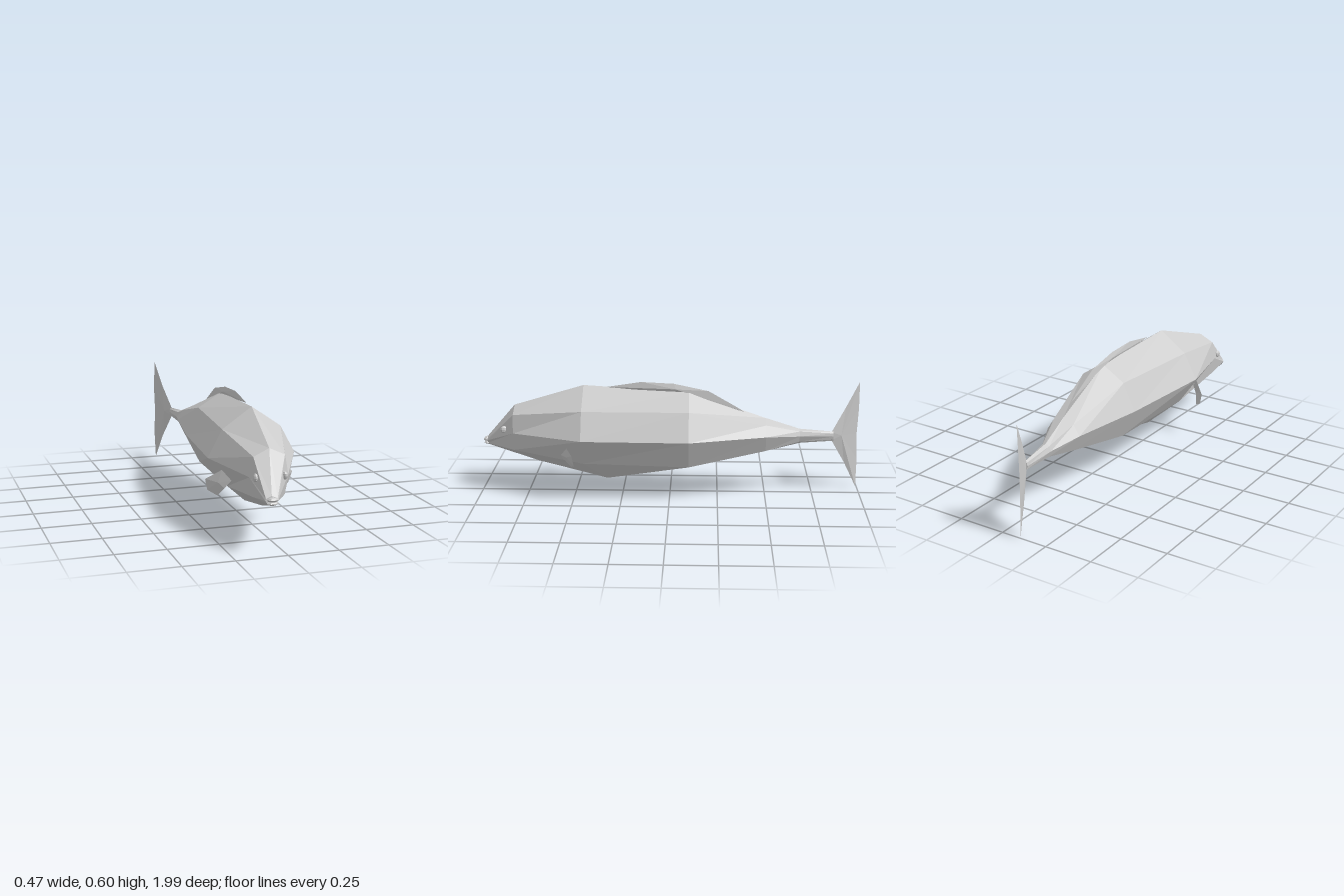
import * as THREE from 'three';

const material = new THREE.MeshStandardMaterial({ color: 0xcccccc, flatShading: true, side: THREE.DoubleSide });

function addMesh(group, name, geometry) {
  const mesh = new THREE.Mesh(geometry, material);
  mesh.name = name;
  group.add(mesh);
  return mesh;
}

function fromTriangles(triangles) {
  const geometry = new THREE.BufferGeometry();
  geometry.setAttribute('position', new THREE.Float32BufferAttribute(triangles.flat(2), 3));
  geometry.computeVertexNormals();
  return geometry;
}

// Eight-sided rings joined into a closed skin, front to back
function skin(rings) {
  const tris = [];
  const n = rings[0].length;
  for (let i = 0; i < rings.length - 1; i++) {
    for (let j = 0; j < n; j++) {
      const k = (j + 1) % n;
      const [a, b, c, d] = [rings[i][j], rings[i][k], rings[i + 1][k], rings[i + 1][j]];
      tris.push([a, b, d], [b, c, d]);
    }
  }
  const first = rings[0], last = rings[rings.length - 1];
  for (let j = 1; j < n - 1; j++) {
    tris.push([first[0], first[j + 1], first[j]], [last[0], last[j], last[j + 1]]);
  }
  return fromTriangles(tris);
}

// Thin blade: an outline fanned to a ridge point on either side
function blade(outline, centre, offset) {
  const tris = [];
  const ridge = (s) => centre.map((v, i) => v + s * offset[i]);
  outline.forEach((p, i) => {
    const q = outline[(i + 1) % outline.length];
    tris.push([p, q, ridge(1)], [q, p, ridge(-1)]);
  });
  return fromTriangles(tris);
}

// z, centre x, top y, upper [w, y], side [w, y], lower [w, y], keel y, keel z shift
const sections = [
  [0.975, -0.073, 0.283, [0.028, 0.272], [0.032, 0.264], [0.018, 0.246], 0.240, 0.01],
  [0.82, -0.031, 0.466, [0.077, 0.430], [0.095, 0.335], [0.078, 0.240], 0.160, -0.12],
  [0.45, 0.011, 0.586, [0.150, 0.482], [0.224, 0.345], [0.124, 0.196], 0.080, -0.12],
  [-0.10, 0.029, 0.556, [0.125, 0.480], [0.193, 0.338], [0.120, 0.186], 0.153, 0],
  [-0.50, -0.003, 0.412, [0.060, 0.388], [0.095, 0.334], [0.055, 0.248], 0.232, 0],
  [-0.68, -0.027, 0.348, [0.020, 0.338], [0.029, 0.313], [0.018, 0.282], 0.272, 0],
  [-0.86, -0.040, 0.330, [0.008, 0.322], [0.011, 0.306], [0.008, 0.288], 0.281, 0],
];

function ringOf([z, x, top, up, side, low, keel, shift]) {
  const flank = [up, side, low];
  return [
    [x, top, z],
    ...flank.map(([w, y]) => [x + w, y, z]),
    [x + 0.006, keel, z + shift],
    ...flank.slice().reverse().map(([w, y]) => [x - w, y, z]),
  ];
}

export function createModel() {
  const fish = new THREE.Group();
  fish.name = 'fish';

  addMesh(fish, 'body', skin(sections.map(ringOf)));

  // Lips: two flattened wedges meeting at the mouth line
  [['upperLip', 0.267, 0.012, 0.98], ['lowerLip', 0.249, 0.010, 0.977]].forEach(([name, y, h, z]) => {
    const lip = addMesh(fish, name, new THREE.SphereGeometry(1, 6, 4));
    lip.scale.set(0.029, h, 0.02);
    lip.position.set(-0.07, y, z);
  });

  // Eyes on both cheeks
  [['leftEye', 0.025, 0.45], ['rightEye', -0.115, -0.15]].forEach(([name, x, turn]) => {
    const eye = addMesh(fish, name, new THREE.SphereGeometry(1, 8, 6));
    eye.scale.set(0.012, 0.02, 0.02);
    eye.rotation.y = turn;
    eye.position.set(x, 0.345, 0.872);
  });

  // Dorsal fin along the spine
  const dorsal = [
    [0.33, 0.580], [0.15, 0.608], [-0.02, 0.600], [-0.20, 0.562],
    [-0.35, 0.476], [-0.39, 0.450], [-0.10, 0.545], [0.10, 0.560],
  ].map(([z, y]) => [0.026, y, z]);
  addMesh(fish, 'dorsalFin', blade(dorsal, [0.027, 0.572, -0.03], [0.008, 0, 0]));

  // Tail fin, swung toward -x
  const tail = [
    [-0.038, 0.328, -0.85], [-0.075, 0.455, -0.925], [-0.102, 0.585, -0.995],
    [-0.108, 0.440, -0.997], [-0.105, 0.300, -0.99], [-0.108, 0.160, -0.997],
    [-0.102, 0.005, -0.995], [-0.075, 0.150, -0.925], [-0.038, 0.283, -0.85],
  ];
  addMesh(fish, 'tailFin', blade(tail, [-0.062, 0.305, -0.9], [0.01, 0, -0.004]));

  // Pectoral fins
  addMesh(fish, 'rightPectoralFin', blade([
    [-0.168, 0.303, 0.535], [-0.130, 0.255, 0.57], [-0.160, 0.215, 0.55],
    [-0.183, 0.170, 0.51], [-0.225, 0.195, 0.48], [-0.235, 0.250, 0.48],
  ], [-0.187, 0.24, 0.525], [0.002, 0, 0.004]));
  addMesh(fish, 'leftPectoralFin', blade([
    [0.165, 0.297, 0.535], [0.207, 0.260, 0.50], [0.190, 0.200, 0.49],
    [0.143, 0.180, 0.51], [0.120, 0.240, 0.57],
  ], [0.165, 0.24, 0.527], [0.002, 0, 0.004]));

  return fish;
}
